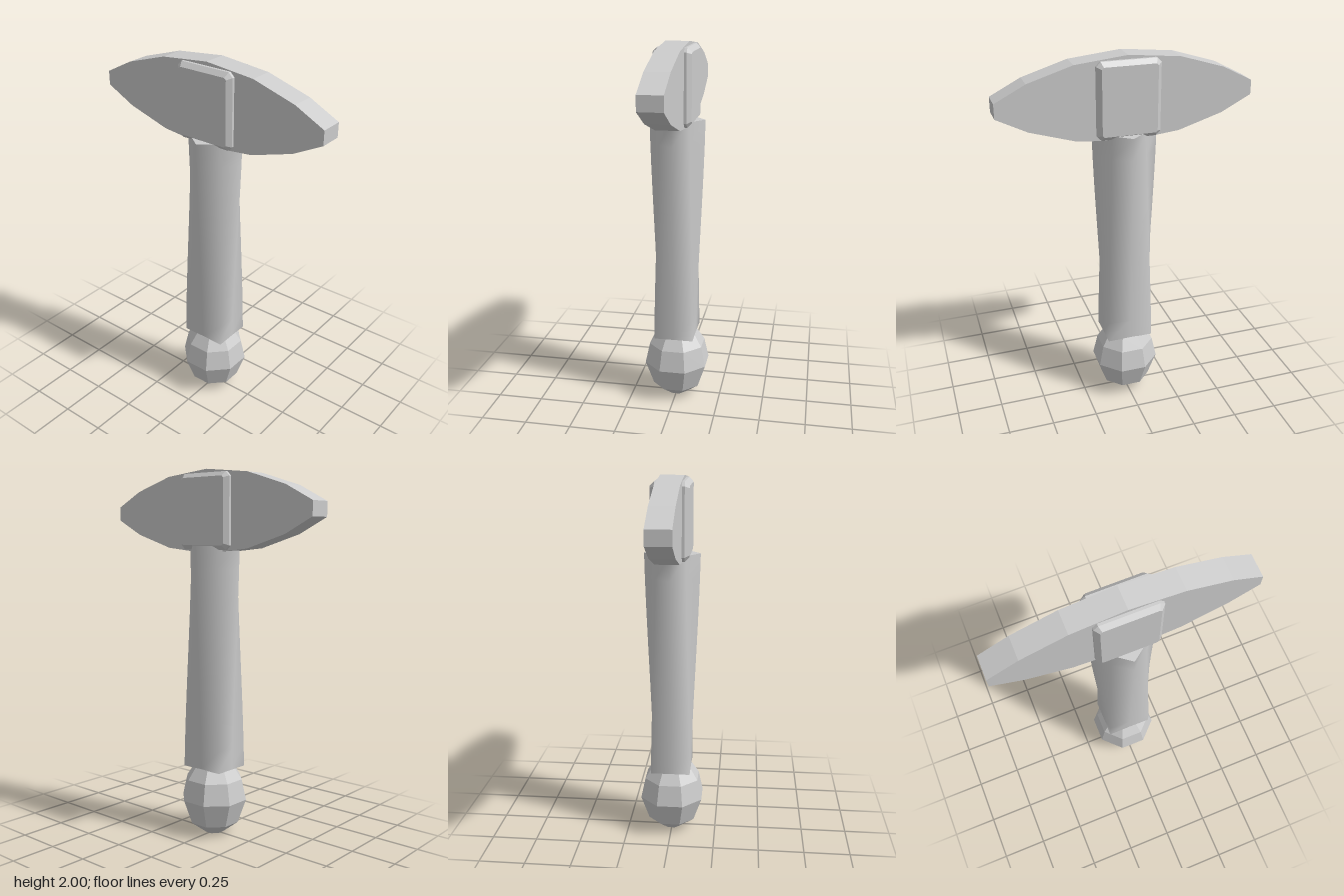
import * as THREE from 'three';

const grey = new THREE.MeshStandardMaterial({ color: 0xcccccc });
grey.name = 'grey';

function part(name, geometry) {
  const mesh = new THREE.Mesh(geometry, grey);
  mesh.name = name;
  return mesh;
}

function faceted(geometry) {
  const g = geometry.index ? geometry.toNonIndexed() : geometry;
  g.computeVertexNormals();
  return g;
}

// Eight-sided handle that changes from a rectangle at the foot to a diamond at the top
function handleGeometry() {
  const y0 = 0.38, y1 = 1.6, rows = 10, sides = 8;
  const lerp = THREE.MathUtils.lerp;
  const ring = (t) => {
    const e = t * t * (3 - 2 * t) * 0.5 + t * 0.5;
    const mx = lerp(0.126, 0.176, e), mz = lerp(0.107, 0.15, e);
    const cx = lerp(0.127, 0.092, e), cz = lerp(0.108, 0.08, e);
    return [[mx, 0], [cx, cz], [0, mz], [-cx, cz], [-mx, 0], [-cx, -cz], [0, -mz], [cx, -cz]]
      .map(([x, z]) => [x, lerp(y0, y1, t), z]);
  };
  const pos = [], idx = [];
  for (let r = 0; r <= rows; r++) {
    ring(r / rows).forEach((p) => pos.push(...p));
    for (let i = 0; r < rows && i < sides; i++) {
      const a = r * sides + i, b = r * sides + ((i + 1) % sides);
      idx.push(a, a + sides, b, b, a + sides, b + sides);
    }
  }
  // End caps with their own corners, so their edges stay sharp
  for (const t of [0, 1]) {
    const first = pos.length / 3;
    ring(t).forEach((p) => pos.push(...p));
    for (let i = 1; i < sides - 1; i++) {
      if (t === 0) idx.push(first, first + i, first + i + 1);
      else idx.push(first, first + i + 1, first + i);
    }
  }
  const g = new THREE.BufferGeometry();
  g.setAttribute('position', new THREE.Float32BufferAttribute(pos, 3));
  g.setIndex(idx);
  g.computeVertexNormals();
  return g;
}

// Faceted octagonal pommel; radii are measured to the flats
function pommelGeometry() {
  const profile = [[0, 0], [0.048, 0], [0.128, 0.065], [0.172, 0.2], [0.148, 0.315], [0.105, 0.385], [0, 0.4]]
    .map(([r, y]) => new THREE.Vector2(r / Math.cos(Math.PI / 8), y));
  return faceted(new THREE.LatheGeometry(profile, 8, Math.PI / 8));
}

// Flat double-ended head, tapered to blunt tips
function headGeometry() {
  const upper = [[0.67, 1.818], [0.51, 1.9], [0.275, 1.972], [0, 2], [-0.275, 1.972], [-0.51, 1.9], [-0.67, 1.818]];
  const lower = upper.map(([x, y]) => [-x, 3.56 - y]);
  const shape = new THREE.Shape([...upper, ...lower].map(([x, y]) => new THREE.Vector2(x, y)));
  const g = new THREE.ExtrudeGeometry(shape, { depth: 0.126, bevelEnabled: false });
  g.translate(0, 0, -0.063);
  return faceted(g);
}

// Chamfered block clamping the middle of the head
function blockGeometry() {
  const w = 0.145, h = 0.177, c = 0.01, bevel = 0.023;
  const corners = [[w, -h + c], [w, h - c], [w - c, h], [-w + c, h], [-w, h - c], [-w, -h + c], [-w + c, -h], [w - c, -h]];
  const shape = new THREE.Shape(corners.map(([x, y]) => new THREE.Vector2(x, y)));
  const g = new THREE.ExtrudeGeometry(shape, {
    depth: 0.2 - 2 * bevel, bevelEnabled: true, bevelSize: bevel, bevelThickness: bevel, bevelSegments: 1,
  });
  g.translate(0, 1.78, -0.1 + bevel);
  return faceted(g);
}

export function createModel() {
  const model = new THREE.Group();
  model.name = 'hammer';
  model.add(
    part('handle', handleGeometry()),
    part('pommel', pommelGeometry()),
    part('head', headGeometry()),
    part('headBlock', blockGeometry()),
  );
  return model;
}
